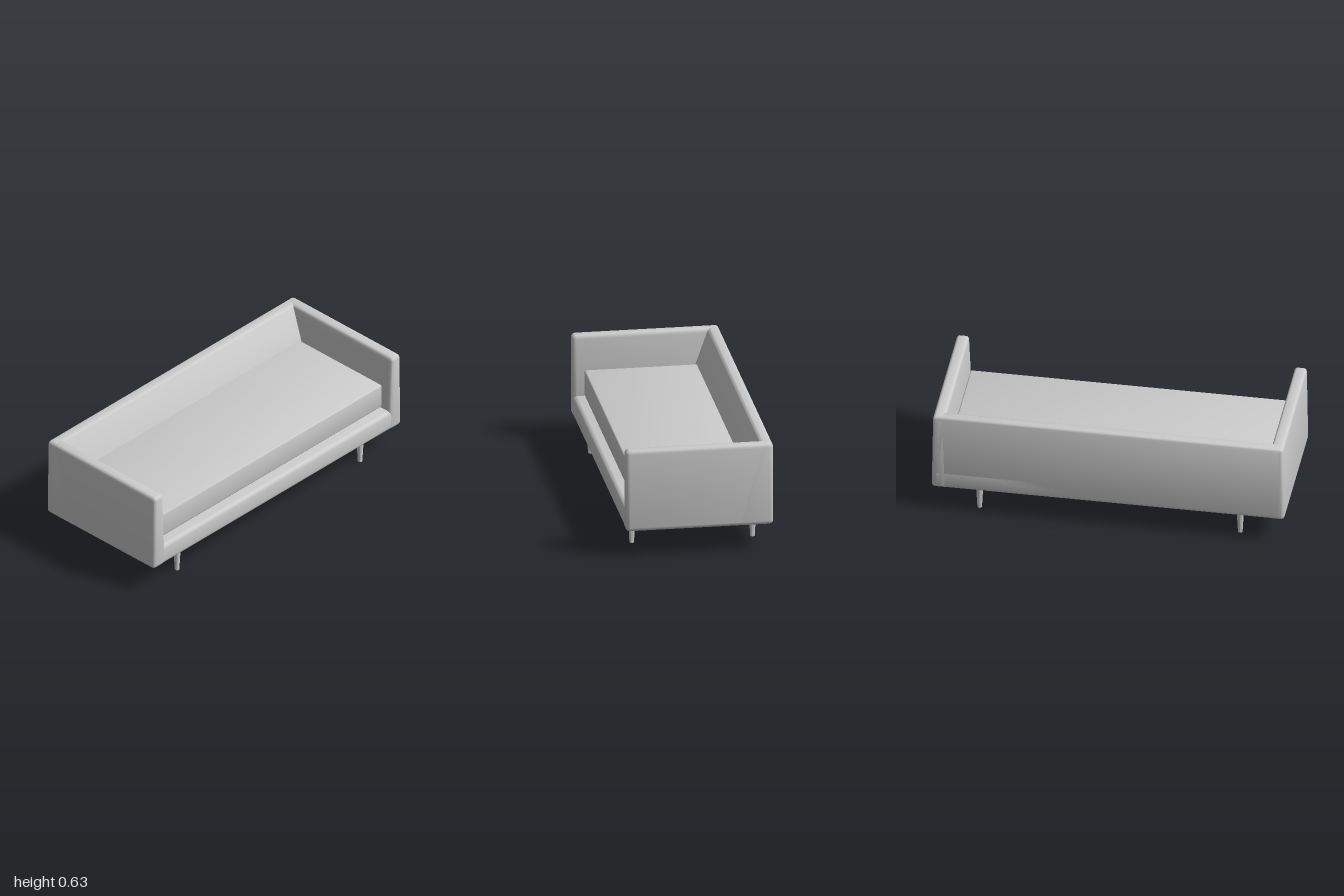
import * as THREE from 'three';
import { toCreasedNormals } from 'three/addons/utils/BufferGeometryUtils.js';
import { RoundedBoxGeometry } from 'three/addons/geometries/RoundedBoxGeometry.js';

const BOTTOM = 0.155, TOP = 0.632, DEPTH = 0.417;
const material = new THREE.MeshStandardMaterial({ color: 0xcccccc });

// Rounded box given by its limits; the optional rule moves each vertex
function softBox(name, min, max, radius, rule) {
  const size = max.map((m, i) => m - min[i]);
  const geometry = new RoundedBoxGeometry(...size, 2, radius);
  geometry.translate(...max.map((m, i) => (m + min[i]) / 2));
  if (rule) {
    const position = geometry.attributes.position;
    const v = new THREE.Vector3();
    for (let i = 0; i < position.count; i++) {
      rule(v.fromBufferAttribute(position, i), (v.y - BOTTOM) / (TOP - BOTTOM));
      position.setXYZ(i, v.x, v.y, v.z);
    }
  }
  const mesh = new THREE.Mesh(toCreasedNormals(geometry, 0.6), material);
  mesh.name = name;
  return mesh;
}

// The outer sides lean in slightly towards the top
const lean = (v, t) => { v.x *= 1 - 0.008 * t; };

export function createModel() {
  const sofa = new THREE.Group();
  sofa.name = 'sofa';

  // Seat base between the arms
  sofa.add(softBox('seatBase', [-0.995, BOTTOM, -DEPTH], [0.995, 0.28, DEPTH - 0.002], 0.025, lean));

  // Arms, thinner at the top
  for (const side of [-1, 1]) {
    const x = [side * 0.9, side].sort((a, b) => a - b);
    sofa.add(softBox(side > 0 ? 'leftArm' : 'rightArm',
      [x[0], BOTTOM, -DEPTH], [x[1], TOP, DEPTH], 0.023, (v, t) => {
        const across = (Math.abs(v.x) - 0.9) / 0.1;
        v.x += side * t * THREE.MathUtils.lerp(0.022, -0.008, across);
      }));
  }

  // Backrest with a sloping inner face
  sofa.add(softBox('backrest', [-1, BOTTOM, -DEPTH], [1, TOP, -DEPTH + 0.1], 0.022, (v, t) => {
    lean(v, t);
    v.z = -DEPTH + (v.z + DEPTH) * THREE.MathUtils.lerp(2.4, 0.66, t);
  }));

  // Loose seat cushion
  sofa.add(softBox('seatCushion', [-0.893, 0.288, -0.3], [0.905, 0.438, 0.355], 0.01));

  // Tapered legs
  const legGeometry = toCreasedNormals(new THREE.CylinderGeometry(0.022, 0.013, 0.165, 10), 0.8);
  for (const [end, z] of [['front', 0.345], ['back', -0.338]]) {
    for (const side of [-1, 1]) {
      const leg = new THREE.Mesh(legGeometry, material);
      leg.name = end + (side > 0 ? 'LeftLeg' : 'RightLeg');
      leg.position.set(side * 0.738, 0.0825, z);
      sofa.add(leg);
    }
  }
  return sofa;
}
